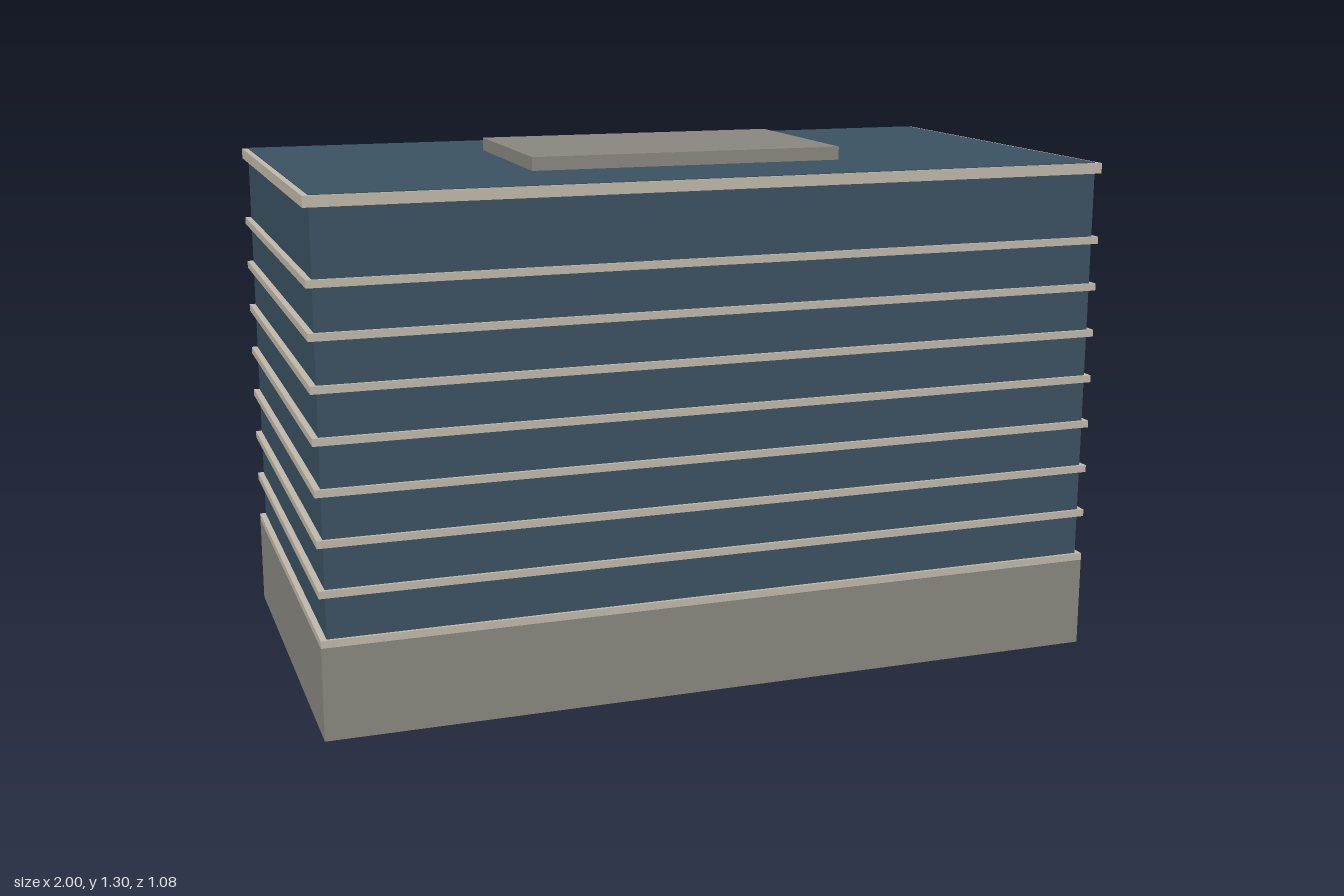
import * as THREE from 'three';

const WIDTH = 1.99, DEPTH = 1.061; // footprint of the base and ledges
const TURN = 0.0095;               // the block stands slightly askew
const INSET = 0.985;               // glass is set back from the ledges

export function createModel() {
  const stone = new THREE.MeshStandardMaterial({ color: 0x88867e });
  stone.name = 'stone';
  const trim = new THREE.MeshStandardMaterial({ color: 0xbfb7a8 });
  trim.name = 'trim';
  const glass = new THREE.MeshStandardMaterial({ color: 0x3b5162 });
  glass.name = 'glass';

  const model = new THREE.Group();
  model.name = 'officeBlock';
  const tower = new THREE.Group();
  tower.name = 'tower';
  tower.rotation.y = TURN;
  model.add(tower);

  // Box standing between two heights
  function slab(parent, name, material, y0, y1, w, d) {
    const mesh = new THREE.Mesh(new THREE.BoxGeometry(w, y1 - y0, d), material);
    mesh.name = name;
    mesh.position.y = (y0 + y1) / 2;
    parent.add(mesh);
  }

  // Ground floor plinth
  slab(tower, 'base', stone, 0, 0.228, WIDTH, DEPTH);

  // Glazed storeys, whose top is also the flat roof
  slab(tower, 'glazing', glass, 0.228, 1.27, WIDTH * INSET, DEPTH * INSET);

  // Ledge over the base and one at each floor
  for (let i = 0; i < 8; i++) {
    const y = 0.237 + i * 0.1195;
    slab(tower, `floorLedge${i + 1}`, trim, y - 0.009, y + 0.009, WIDTH, DEPTH);
  }

  // Roof cornice, just below the roof surface
  slab(tower, 'cornice', trim, 1.242, 1.268, WIDTH, DEPTH);

  // Plant room, square to the axes
  slab(model, 'roofBox', stone, 1.26, 1.303, 0.8, 0.512);

  return model;
}
